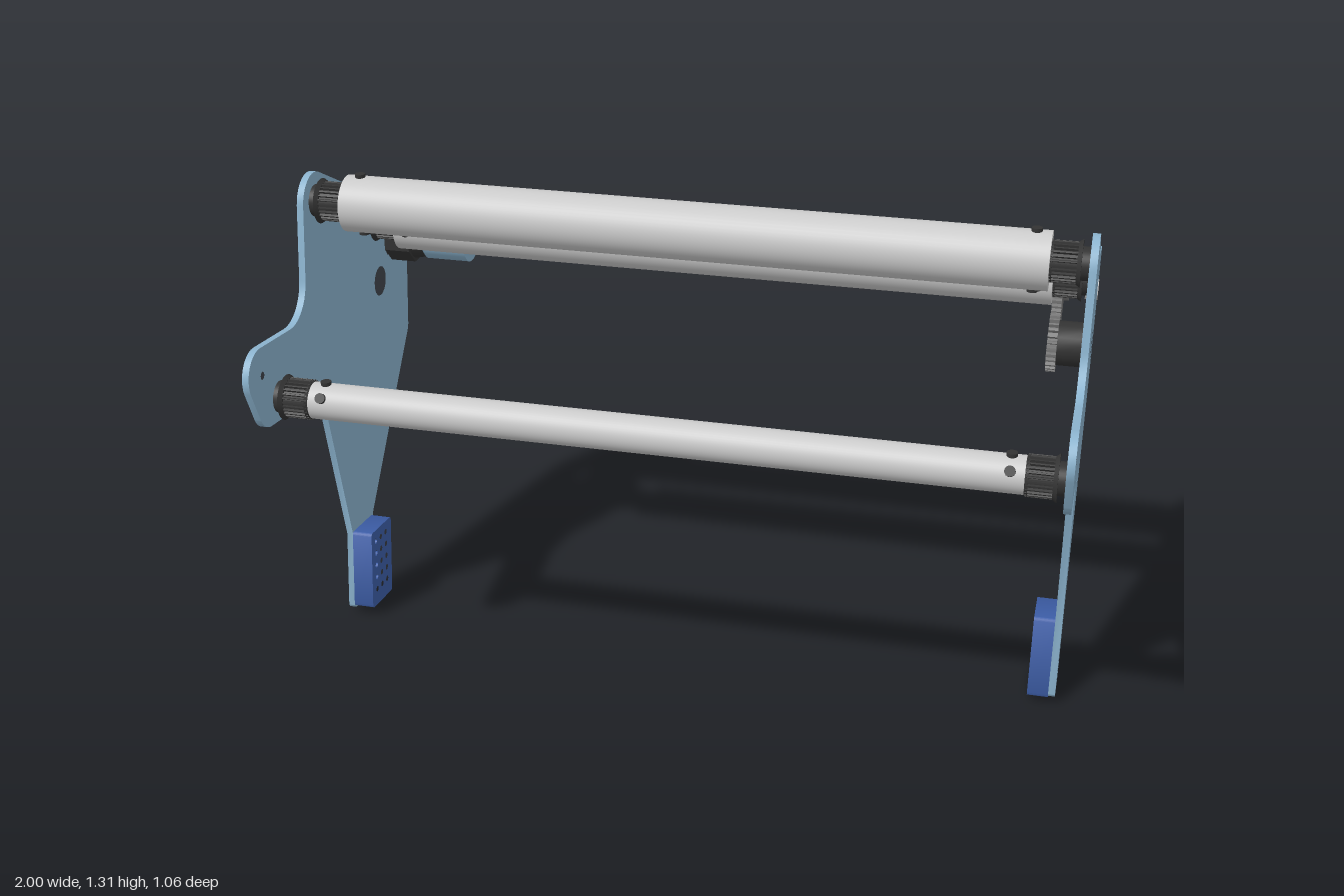
import * as THREE from 'three';
import { toCreasedNormals } from 'three/addons/utils/BufferGeometryUtils.js';

const mat = (color) => new THREE.MeshStandardMaterial({ color });
const grey = mat(0xcccccc), plateBlue = mat(0x8cb4cf), footBlue = mat(0x3d5ea8);
const black = mat(0x333333), steel = mat(0x777777);

function add(parent, name, geometry, material) {
  const mesh = new THREE.Mesh(geometry, material);
  mesh.name = name;
  parent.add(mesh);
  return mesh;
}

// Cylinder lying along x from x0 to x1, around the axis (y, z)
function rod(parent, name, x0, x1, r0, r1, y, z, material, sides = 40) {
  const g = new THREE.CylinderGeometry(r1, r0, x1 - x0, sides).rotateZ(-Math.PI / 2);
  const m = add(parent, name, sides > 8 ? g : toCreasedNormals(g, 0.5), material);
  m.position.set((x0 + x1) / 2, y, z);
  return m;
}

// Shape drawn in (z, y), extruded from x0 to x1
function slab(parent, name, shape, x0, x1, material) {
  const g = new THREE.ExtrudeGeometry(shape, { depth: x1 - x0, bevelEnabled: false, curveSegments: 10 });
  g.rotateY(-Math.PI / 2).translate(x1, 0, 0);
  return add(parent, name, toCreasedNormals(g, 0.6), material);
}

// Closed outline from corners [u, v, radius]
function roundedShape(corners) {
  const pts = [];
  const n = corners.length;
  corners.forEach(([u, v, r], i) => {
    const c = new THREE.Vector2(u, v);
    if (!r) return pts.push(c);
    const a = new THREE.Vector2(...corners[(i + n - 1) % n]).sub(c).normalize();
    const b = new THREE.Vector2(...corners[(i + 1) % n]).sub(c).normalize();
    const half = Math.acos(a.dot(b)) / 2;
    const mid = a.clone().add(b).normalize().multiplyScalar(r / Math.sin(half)).add(c);
    const t = r / Math.tan(half);
    const p = a.multiplyScalar(t).add(c).sub(mid), q = b.multiplyScalar(t).add(c).sub(mid);
    const sweep = Math.atan2(p.x * q.y - p.y * q.x, p.dot(q));
    for (let k = 0; k <= 10; k++) {
      pts.push(p.clone().rotateAround(new THREE.Vector2(), sweep * k / 10).add(mid));
    }
  });
  return new THREE.Shape(pts);
}

const hole = (shape, u, v, r) => shape.holes.push(new THREE.Path().absarc(u, v, r, 0, Math.PI * 2, true));

function hexHole(shape, u, v, r) {
  const pts = [];
  for (let i = 0; i < 6; i++) pts.push(new THREE.Vector2(u + r * Math.cos(-i * Math.PI / 3), v + r * Math.sin(-i * Math.PI / 3)));
  shape.holes.push(new THREE.Path(pts));
}

function gearShape(z, y, rOuter, rRoot, teeth) {
  const pts = [];
  for (let i = 0; i < teeth; i++) {
    [[0, rRoot], [0.4, rRoot], [0.55, rOuter], [0.85, rOuter]].forEach(([f, r]) => {
      const a = (i + f) / teeth * Math.PI * 2;
      pts.push(new THREE.Vector2(z + r * Math.cos(a), y + r * Math.sin(a)));
    });
  }
  return new THREE.Shape(pts);
}

// Grid of 3 x 5 bolt holes in the slanted foot
function footHoles(shape) {
  for (let row = 0; row < 5; row++) {
    for (let col = 0; col < 3; col++) {
      hole(shape, 0.004 - col * 0.036 - row * -0.0035 * -1 + 0.002, 0.06 - col * 0.004 + row * 0.036, 0.008);
    }
  }
}

const SHAFT = { y: 0.975, z: -0.43 }, IDLER = { y: 0.87, z: -0.304 };

function sidePlateShape() {
  const s = roundedShape([
    [0.131, 1.345, 0.074], [0.184, 0.954, 0.1], [0.576, 1.006, 0.067], [0.474, 0.779, 0.07],
    [0.133, 0.73, 0.11], [0.017, 0.244, 0], [0.046, 0.021, 0.015], [-0.097, 0.004, 0.008],
    [-0.125, 0.23, 0.04], [-0.485, 0.66, 0.04], [-0.533, 1.064, 0.07], [-0.294, 1.123, 0.06],
  ]);
  [[0.08, 1.23], [-0.128, 1.12], [0.457, 0.918], [0.384, 0.826], [0.09, 0.677], [-0.304, 0.479]]
    .forEach(([z, y]) => hole(s, z, y, 0.01));
  hole(s, -0.265, 1.058, 0.007);
  hole(s, IDLER.z, IDLER.y, 0.041);
  hole(s, SHAFT.z, SHAFT.y, 0.027);
  // Bolt circle around the shaft
  [53, 98, 143, 233, 278, 323].forEach((d) => {
    const a = d * Math.PI / 180;
    hole(s, SHAFT.z + 0.074 * Math.cos(a), SHAFT.y + 0.074 * Math.sin(a), 0.007);
  });
  footHoles(s);
  return s;
}

function footShape() {
  const s = roundedShape([[0.018, 0.24, 0.01], [0.046, 0.018, 0.012], [-0.096, 0, 0.008], [-0.124, 0.222, 0.01]]);
  footHoles(s);
  return s;
}

// Roller tube with a ribbed, flanged hub and set screws at each end
function roller(parent, name, y, z, r, screwAngles) {
  const g = new THREE.Group();
  g.name = name;
  parent.add(g);
  const mid = 0.0185;
  rod(g, 'tube', -0.85, 0.887, r, r, y, z, grey, 48);
  for (const s of [-1, 1]) {
    const part = (label, a, b, ra, rb) => s > 0
      ? rod(g, label, mid + a, mid + b, ra, rb, y, z, black)
      : rod(g, label, mid - b, mid - a, rb, ra, y, z, black);
    part('hubFlange', 0.866, 0.874, 0.046, 0.05);
    part('hubRim', 0.93, 0.94, 0.05, 0.057);
    part('hubStub', 0.93, 0.962, 0.04, 0.04);
    const [x0, x1] = s > 0 ? [mid + 0.868, mid + 0.934] : [mid - 0.934, mid - 0.868];
    slab(g, 'hubRibs', gearShape(z, y, 0.05, 0.044, 28), x0, x1, black);
    for (const deg of screwAngles) {
      const a = deg * Math.PI / 180;
      const screw = add(g, 'setScrew', new THREE.CylinderGeometry(0.013, 0.013, 0.016, 16), black);
      screw.rotation.x = Math.PI / 2 - a;
      screw.position.set(mid + s * 0.832, y + r * Math.sin(a), z + r * Math.cos(a));
    }
  }
}

export function createModel() {
  const model = new THREE.Group();
  model.name = 'rollerFrame';

  // Side plates and feet
  const plate = sidePlateShape(), foot = footShape();
  slab(model, 'rightPlate', plate, -0.957, -0.94, plateBlue);
  slab(model, 'leftPlate', plate, 0.977, 0.995, plateBlue);
  slab(model, 'rightFoot', foot, -0.94, -0.885, footBlue).position.y = 0.01;
  slab(model, 'leftFoot', foot, 0.923, 0.977, footBlue);

  // Rollers
  roller(model, 'topRoller', 1.233, 0.072, 0.071, [90, 270]);
  roller(model, 'rearRoller', 1.062, -0.27, 0.071, [0, 90, 180]);
  roller(model, 'frontRoller', 0.827, 0.376, 0.046, [90, 32]);

  // Drive shaft with bearings
  rod(model, 'driveShaft', -1, 0.983, 0.019, 0.019, SHAFT.y, SHAFT.z, black, 6);
  for (const [x0, x1] of [[-0.96, -0.937], [0.965, 0.997]]) {
    const ring = new THREE.Shape().absarc(SHAFT.z, SHAFT.y, 0.027, 0, Math.PI * 2);
    hole(ring, SHAFT.z, SHAFT.y, 0.016);
    slab(model, 'shaftBearing', ring, x0, x1, grey);
  }

  // Motor and gearbox
  rod(model, 'gearbox', -0.94, -0.87, 0.083, 0.083, SHAFT.y, SHAFT.z, black, 8).rotation.x = Math.PI / 8;
  rod(model, 'gearboxCollar', -0.87, -0.838, 0.072, 0.066, SHAFT.y, SHAFT.z, black);
  rod(model, 'motorNeck', -0.85, -0.828, 0.064, 0.064, SHAFT.y, SHAFT.z, plateBlue);
  rod(model, 'motorBody', -0.832, -0.713, 0.07, 0.07, SHAFT.y, SHAFT.z, plateBlue);

  // Meshing gears at the far end
  const big = gearShape(SHAFT.z, SHAFT.y, 0.096, 0.086, 36);
  hole(big, SHAFT.z, SHAFT.y, 0.016);
  slab(model, 'shaftGear', big, 0.885, 0.91, steel);
  rod(model, 'shaftGearHub', 0.875, 0.925, 0.035, 0.035, SHAFT.y, SHAFT.z, steel);
  const small = gearShape(IDLER.z, IDLER.y, 0.076, 0.067, 28);
  hexHole(small, IDLER.z, IDLER.y, 0.019);
  slab(model, 'idlerGear', small, 0.885, 0.91, steel);
  const hub = new THREE.Shape().absarc(IDLER.z, IDLER.y, 0.058, 0, Math.PI * 2);
  hexHole(hub, IDLER.z, IDLER.y, 0.019);
  slab(model, 'idlerHub', hub, 0.91, 0.976, black);

  return model;
}
